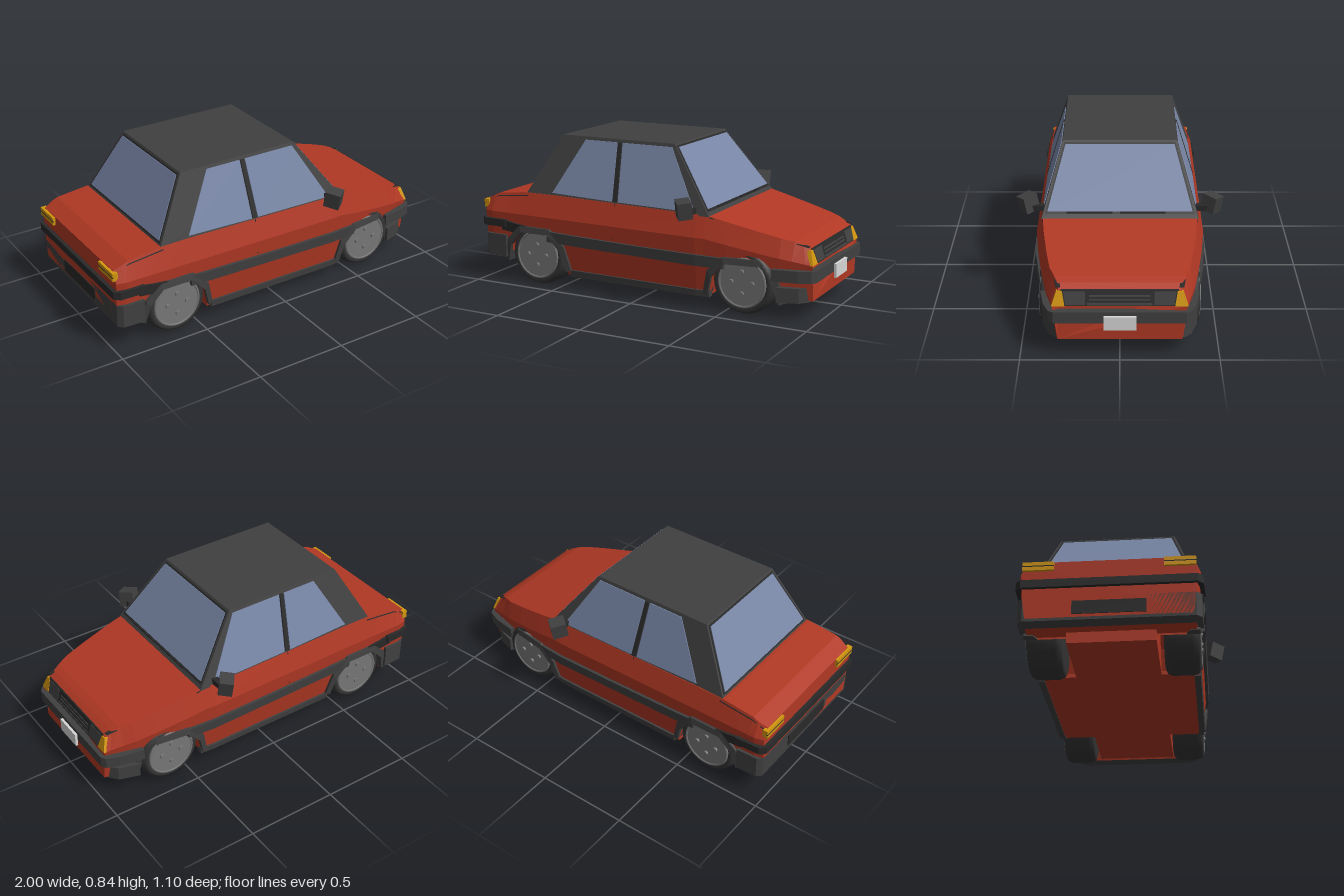
import * as THREE from 'three';

const mat = (name, color) => Object.assign(new THREE.MeshStandardMaterial({ color }), { name });
const V = (x, y, z) => new THREE.Vector3(x, y, z);

// piecewise linear lookup in a list of [input, output]
function lerpTable(t, x) {
  if (x <= t[0][0]) return t[0][1];
  for (let i = 1; i < t.length; i++) {
    const [a, va] = t[i - 1], [b, vb] = t[i];
    if (x <= b) return b === a ? vb : va + (vb - va) * (x - a) / (b - a);
  }
  return t[t.length - 1][1];
}

// capped, faceted skin over equal-length rings; always turned outward
function loft(rings) {
  const tris = [], n = rings[0].length, last = rings[rings.length - 1];
  for (let i = 0; i + 1 < rings.length; i++) {
    for (let j = 0; j < n; j++) {
      const k = (j + 1) % n, A = rings[i], B = rings[i + 1];
      tris.push([A[j], A[k], B[k]], [A[j], B[k], B[j]]);
    }
  }
  for (let j = 1; j + 1 < n; j++) {
    tris.push([rings[0][0], rings[0][j + 1], rings[0][j]], [last[0], last[j], last[j + 1]]);
  }
  const o = rings[0][0];
  let volume = 0;
  for (const [a, b, c] of tris) {
    volume += a.clone().sub(o).dot(b.clone().sub(o).cross(c.clone().sub(o)));
  }
  const pts = tris.flatMap(([a, b, c]) => (volume < 0 ? [a, c, b] : [a, b, c]));
  const g = new THREE.BufferGeometry().setFromPoints(pts);
  g.computeVertexNormals();
  return g;
}
// thin plate from a polygon, pushed back along d
const plate = (pts, d) => loft([pts, pts.map(p => p.clone().add(d))]);

// body rules: widest half-width, crease height, shoulder height along x
const WIDTH = [[-0.98, 0.43], [-0.93, 0.443], [0.35, 0.445], [0.6, 0.42], [0.8, 0.38], [0.96, 0.335]];
const CREASE = [[-0.98, 0.4], [0.4, 0.39], [0.96, 0.29]];
const SHOULDER = [[-0.98, 0.462], [-0.9, 0.5], [-0.7, 0.523], [0.4, 0.507], [0.93, 0.388], [0.96, 0.365]];
const side = (x, y) => lerpTable(WIDTH, x) * lerpTable([
  [0.08, 0.92], [0.25, 0.975], [lerpTable(CREASE, x), 1], [lerpTable(SHOULDER, x), x > 0.8 ? 0.9 : 0.925]], y);
const noseX = (x, y) => (x > 0.9 ? x - 0.31 * Math.max(0, y - 0.29) : x);

const ARCH = [[-0.19, -0.06], [-0.165, 0.04], [-0.09, 0.12], [0.08, 0.12], [0.16, 0.03], [0.19, -0.08]];
const WHEELS = [{ name: 'rear', x: -0.637, archY: 0.18, z: 0.34 }, { name: 'front', x: 0.607, archY: 0.15, z: 0.32 }];

export function createModel() {
  const car = new THREE.Group();
  car.name = 'car';
  const red = mat('red paint', 0xb03824), grey = mat('dark grey trim', 0x404040),
    black = mat('black trim', 0x292929), glass = mat('blue glass', 0x7886a6),
    amber = mat('amber lamp', 0xd2960f), metal = mat('wheel grey', 0x777777),
    white = mat('plate white', 0xd8d8d8), rubber = mat('tyre rubber', 0x353535);

  const add = (name, geo, m, parent = car) => {
    const mesh = new THREE.Mesh(geo, m);
    mesh.name = name;
    parent.add(mesh);
    return mesh;
  };
  const box = (name, m, sx, sy, sz, x, y, z, parent = car) => {
    const b = add(name, new THREE.BoxGeometry(sx, sy, sz), m, parent);
    b.position.set(x, y, z);
    return b;
  };

  // body shell with wheel arches cut into its lower edge
  const stations = [[-0.98, 0.16], [-0.93, 0.15], [-0.9, 0.145]];
  WHEELS.forEach((w, i) => {
    stations.push([w.x - 0.19, i ? 0.08 : 0.13]);
    ARCH.forEach(([dx, dy]) => stations.push([w.x + dx, w.archY + dy]));
    stations.push([w.x + 0.19, i ? 0.1 : 0.08]);
    if (!i) stations.push([-0.1, 0.08], [0.35, 0.08], [0.4, 0.08]);
  });
  stations.push([0.86, 0.1], [0.93, 0.1], [0.96, 0.1]);
  add('body', loft(stations.map(([x, yb]) => {
    const ys = [yb, Math.max(0.25, yb + 0.01), lerpTable(CREASE, x), lerpTable(SHOULDER, x)];
    const half = ys.map(y => V(noseX(x, y), y, side(x, y)));
    return [...half, ...half.map(p => V(p.x, p.y, -p.z)).reverse()];
  })), red);
  box('floorBetweenWheels', red, 1.68, 0.24, 0.44, -0.02, 0.2, 0);

  // cabin
  const cabinZ = y => 0.413 - (y - 0.5) * 0.108 / 0.345;
  const frontX = y => 0.42 - (y - 0.5) * 0.255 / 0.345;
  const rearX = y => -0.722 + (y - 0.5) * 0.192 / 0.345;
  add('cabin', loft([0.5, 0.845].map(y => [
    V(rearX(y), y, cabinZ(y)), V(frontX(y), y, cabinZ(y)),
    V(frontX(y), y, -cabinZ(y)), V(rearX(y), y, -cabinZ(y))])), grey);
  const screen = (name, xAt, out, y0, y1, inset, m) => add(name, plate(
    [[y0, 1], [y0, -1], [y1, -1], [y1, 1]].map(([y, s]) => V(xAt(y) + out, y, s * (cabinZ(y) - inset))),
    V(-Math.sign(out) * 0.008, 0, 0)), m);
  screen('windscreenSeal', frontX, 0.003, 0.522, 0.836, 0.012, black);
  screen('windscreen', frontX, 0.006, 0.535, 0.828, 0.02, glass);
  screen('rearWindowSeal', rearX, -0.003, 0.53, 0.836, 0.012, black);
  screen('rearWindow', rearX, -0.006, 0.54, 0.828, 0.022, glass);

  // bumpers, each a plan outline raised between two heights
  const bumper = (name, outline, y0, y1, m) => {
    const ring = [...outline, ...outline.map(([x, z]) => [x, -z]).reverse()];
    add(name, loft([y0, y1].map(y => ring.map(([x, z]) => V(x, y, z)))), m);
  };
  bumper('frontBumper', [[0.765, 0.405], [0.9, 0.382], [0.965, 0.355], [0.982, 0.33]], 0.203, 0.265, grey);
  bumper('frontValance', [[0.79, 0.395], [0.9, 0.36], [0.942, 0.31]], 0.092, 0.17, grey);
  bumper('rearBumper', [[-0.83, 0.462], [-0.97, 0.456], [-1, 0.43]], 0.318, 0.36, black);
  bumper('rearValance', [[-0.835, 0.45], [-0.955, 0.445], [-0.98, 0.42]], 0.145, 0.27, grey);
  box('rearValanceRecess', black, 0.006, 0.07, 0.36, -0.981, 0.21, 0);
  box('numberPlate', white, 0.014, 0.075, 0.162, 0.99, 0.208, 0);

  // nose: grille panel, slats
  const nose = (name, pts, out, m, depth = 0.008) => add(name,
    plate(pts.map(([y, z]) => V(noseX(0.96, y) + out, y, z)), V(-depth, 0, 0)), m);
  nose('grillePanel', [[0.29, 0.29], [0.29, -0.29], [0.368, -0.29], [0.368, 0.29]], 0.003, black);
  nose('grilleSurround', [[0.295, 0.16], [0.295, -0.16], [0.305, -0.16], [0.305, 0.16]], 0.006, grey);
  for (const y of [0.318, 0.336]) {
    nose('grilleSlat', [[y, 0.15], [y, -0.15], [y + 0.007, -0.15], [y + 0.007, 0.15]], 0.006, grey);
  }

  // parts repeated on both sides
  for (const s of [1, -1]) {
    const label = s > 0 ? 'left' : 'right';
    const half = new THREE.Group();
    half.name = label + 'SideParts';
    car.add(half);

    // ribbon following the flank, given as [x, lower y, upper y]
    const strip = (name, list, out, m) => add(name, loft(list.map(([x, y0, y1]) => [
      V(x, y0, s * (side(x, y0) - 0.02)), V(x, y0, s * (side(x, y0) + out)),
      V(x, y1, s * (side(x, y1) + out)), V(x, y1, s * (side(x, y1) - 0.02))])), m, half);
    strip('sideMoulding', [[-0.56, 0.262, 0.322], [-0.4, 0.257, 0.316], [0, 0.25, 0.306], [0.35, 0.243, 0.302], [0.51, 0.24, 0.298]], 0.016, grey);
    strip('rearMoulding', [[-0.86, 0.3, 0.36], [-0.78, 0.29, 0.345], [-0.7, 0.3, 0.335]], 0.014, black);
    strip('sill', [[-0.425, 0.074, 0.112], [0.35, 0.074, 0.108], [0.425, 0.074, 0.108]], 0.012, grey);
    strip('doorSeam', [[-0.146, 0.32, 0.515], [-0.142, 0.32, 0.515]], 0.002, black);
    strip('bootSeam', [[-0.97, 0.448, 0.453], [-0.9, 0.481, 0.486], [-0.7, 0.502, 0.507]], 0.002, black);
    strip('bonnetSeam', [[0.42, 0.493, 0.498], [0.93, 0.376, 0.38]], 0.002, black);

    // side windows
    const pane = (name, pts, m, out) => add(name, plate(
      pts.map(([x, y]) => V(x, y, s * (cabinZ(y) + out))), V(0, 0, -s * 0.008)), m, half);
    pane('rearSideWindow', [[-0.545, 0.533], [-0.162, 0.522], [-0.18, 0.828], [-0.38, 0.828]], glass, 0.004);
    pane('frontSideWindow', [[-0.125, 0.522], [0.335, 0.515], [0.152, 0.828], [-0.147, 0.828]], glass, 0.004);
    pane('doorPillar', [[-0.157, 0.522], [-0.13, 0.522], [-0.152, 0.828], [-0.175, 0.828]], black, 0.006);

    // lamps
    nose('frontIndicator', [[0.29, s * 0.338], [0.29, s * 0.272], [0.362, s * 0.284], [0.362, s * 0.312]], 0.005, amber, 0.035);
    nose('headlamp', [[0.296, s * 0.268], [0.296, s * 0.17], [0.36, s * 0.17], [0.36, s * 0.278]], 0.006, grey);
    box('tailLamp', amber, 0.03, 0.045, 0.155, -0.98, 0.437, s * 0.346, half);
    box('tailLampBar', black, 0.006, 0.005, 0.156, -0.993, 0.437, s * 0.346, half);

    // door mirror
    box('mirrorArm', black, 0.035, 0.03, 0.07, 0.325, 0.525, s * 0.43, half);
    const mirror = box('mirror', grey, 0.075, 0.09, 0.085, 0.312, 0.546, s * 0.488, half);
    mirror.rotation.set(s * 0.2, s * 0.65, 0);

    for (const w of WHEELS) {
      // arch flare
      add(w.name + 'ArchFlare', loft(ARCH.map(([dx, dy]) => {
        const x0 = w.x + dx, y0 = w.archY + dy, x1 = w.x + dx * 1.14, y1 = w.archY + dy + (dy > 0 ? 0.034 : 0.01);
        return [V(x0, y0, s * (side(x0, y0) - 0.05)), V(x0, y0, s * (side(x0, y0) + 0.022)),
          V(x1, y1, s * (side(x1, y1) + 0.014)), V(x1, y1, s * (side(x1, y1) - 0.03))];
      })), grey, half);

      // wheel
      const wheel = new THREE.Group();
      wheel.name = w.name + 'Wheel';
      wheel.position.set(w.x, 0.175, s * w.z);
      wheel.rotation.x = s * Math.PI / 2;
      half.add(wheel);
      const profile = [[0, -0.09], [0.14, -0.09], [0.163, -0.08], [0.173, -0.055], [0.173, 0.05], [0.163, 0.078], [0.145, 0.09], [0.135, 0.078], [0, 0.078]];
      add('tyre', new THREE.LatheGeometry(profile.map(p => new THREE.Vector2(...p)), 32), rubber, wheel);
      add('rim', new THREE.CylinderGeometry(0.122, 0.137, 0.02, 32), metal, wheel).position.y = 0.08;
      add('rimEdge', new THREE.TorusGeometry(0.128, 0.008, 6, 32).rotateX(Math.PI / 2), metal, wheel).position.y = 0.087;
      for (let i = 0; i < 4; i++) {
        const a = i * Math.PI / 2;
        add('wheelBolt', new THREE.CylinderGeometry(0.012, 0.014, 0.012, 10), metal, wheel)
          .position.set(0.058 * Math.cos(a), 0.094, 0.058 * Math.sin(a));
      }
    }
  }

  // wipers lying at the foot of the windscreen
  for (const z of [-0.12, 0.16]) box('wiper', black, 0.008, 0.008, 0.24, frontX(0.53) + 0.01, 0.531, z);
  return car;
}
